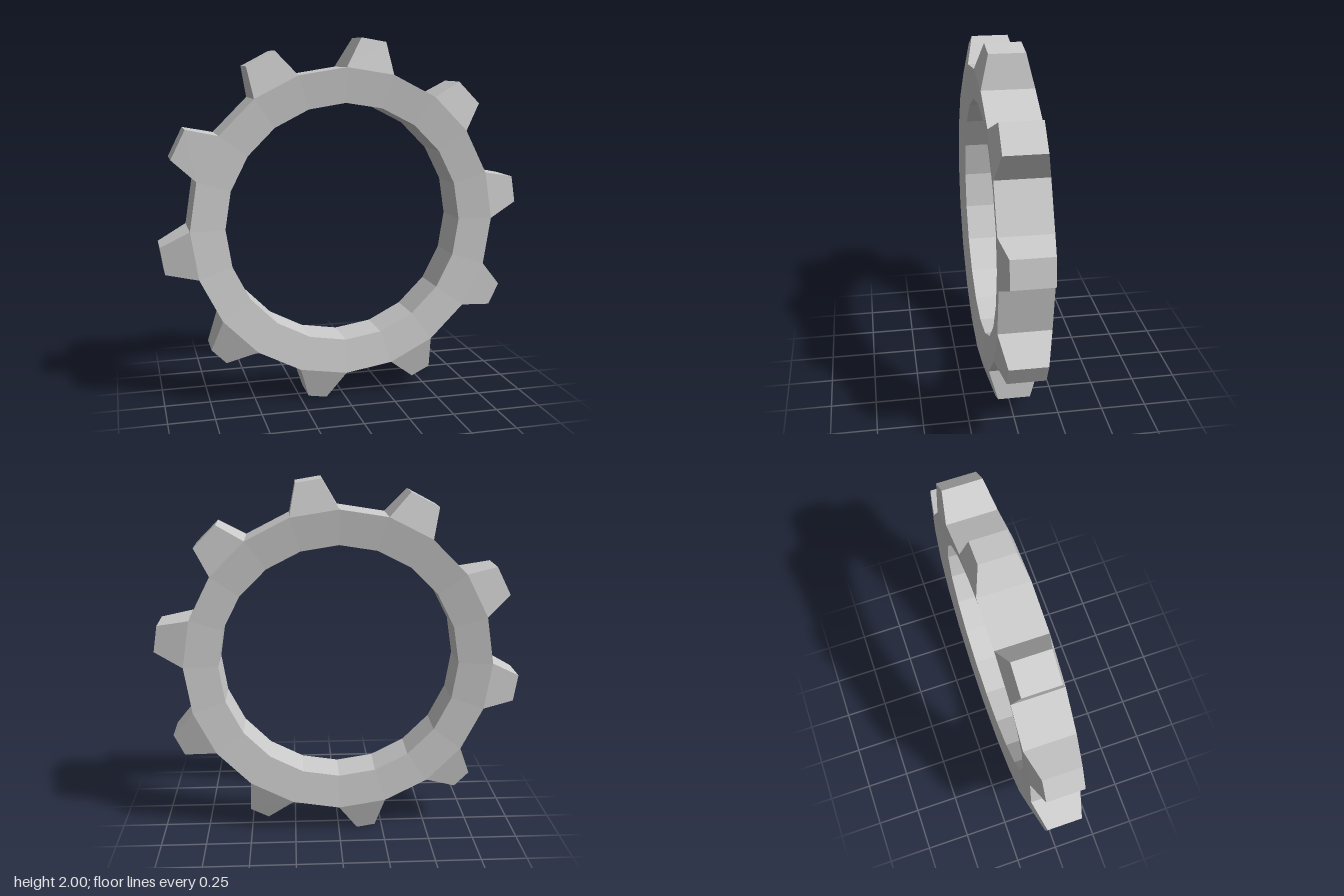
import * as THREE from 'three';

const SIDES = 20, CENTRE_Y = 1;
const OUTER = { r: 0.845, z: 0.137 };
const INNER = { r: 0.657, z: 0.117 };

// Hand-cut tooth tips, clockwise from the top: x, y of both tip corners, then half depth
const TIPS = [
  [0.09, 2.0, 0.228, 1.977, 0.095],
  [0.645, 1.765, 0.765, 1.645, 0.108],
  [0.977, 1.23, 1.0, 1.085, 0.108],
  [0.92, 0.603, 0.862, 0.485, 0.1],
  [0.505, 0.135, 0.403, 0.085, 0.088],
  [-0.105, 0.005, -0.208, 0.022, 0.088],
  [-0.665, 0.255, -0.745, 0.335, 0.09],
  [-0.977, 0.77, -1.0, 0.917, 0.097],
  [-0.93, 1.375, -0.852, 1.53, 0.102],
  [-0.53, 1.85, -0.378, 1.93, 0.1],
];

// Ring corner i, clockwise from the top; side is +1 at the front, -1 at the back
function corner(i, { r, z }, side) {
  const a = (i / SIDES) * Math.PI * 2;
  return [r * Math.sin(a), CENTRE_Y + r * Math.cos(a), z * side];
}

// Flat-shaded mesh from four-cornered faces, corners counter-clockwise
function facetedMesh(name, quads, material) {
  const points = quads.flatMap(([a, b, c, d]) => [a, b, c, a, c, d]).flat();
  const geometry = new THREE.BufferGeometry();
  geometry.setAttribute('position', new THREE.Float32BufferAttribute(points, 3));
  geometry.computeVertexNormals();
  const mesh = new THREE.Mesh(geometry, material);
  mesh.name = name;
  return mesh;
}

function ringQuads() {
  const quads = [];
  for (let i = 0; i < SIDES; i++) {
    const [of, of2, ob, ob2] = [[i, 1], [i + 1, 1], [i, -1], [i + 1, -1]].map(([n, s]) => corner(n, OUTER, s));
    const [nf, nf2, nb, nb2] = [[i, 1], [i + 1, 1], [i, -1], [i + 1, -1]].map(([n, s]) => corner(n, INNER, s));
    quads.push([of, nf, nf2, of2]); // front, sloping in towards the hole
    quads.push([ob2, nb2, nb, ob]); // back
    quads.push([nf, nb, nb2, nf2]); // wall of the hole
    if (i % 2) quads.push([of, of2, ob2, ob]); // rim between teeth
  }
  return quads;
}

function toothQuads(i, [ax, ay, bx, by, z]) {
  const af = corner(i, OUTER, 1), ab = corner(i, OUTER, -1);
  const bf = corner(i + 1, OUTER, 1), bb = corner(i + 1, OUTER, -1);
  const taf = [ax, ay, z], tab = [ax, ay, -z], tbf = [bx, by, z], tbb = [bx, by, -z];
  return [
    [af, bf, tbf, taf], // front
    [bb, ab, tab, tbb], // back
    [ab, af, taf, tab], // flanks
    [bf, bb, tbb, tbf],
    [taf, tbf, tbb, tab], // tip
  ];
}

export function createModel() {
  const model = new THREE.Group();
  model.name = 'gearRing';
  const material = new THREE.MeshStandardMaterial({ color: 0xcccccc, flatShading: true });

  model.add(facetedMesh('ring', ringQuads(), material));

  const teeth = new THREE.Group();
  teeth.name = 'teeth';
  TIPS.forEach((tip, n) => teeth.add(facetedMesh(`tooth${n + 1}`, toothQuads(n * 2, tip), material)));
  model.add(teeth);
  return model;
}
